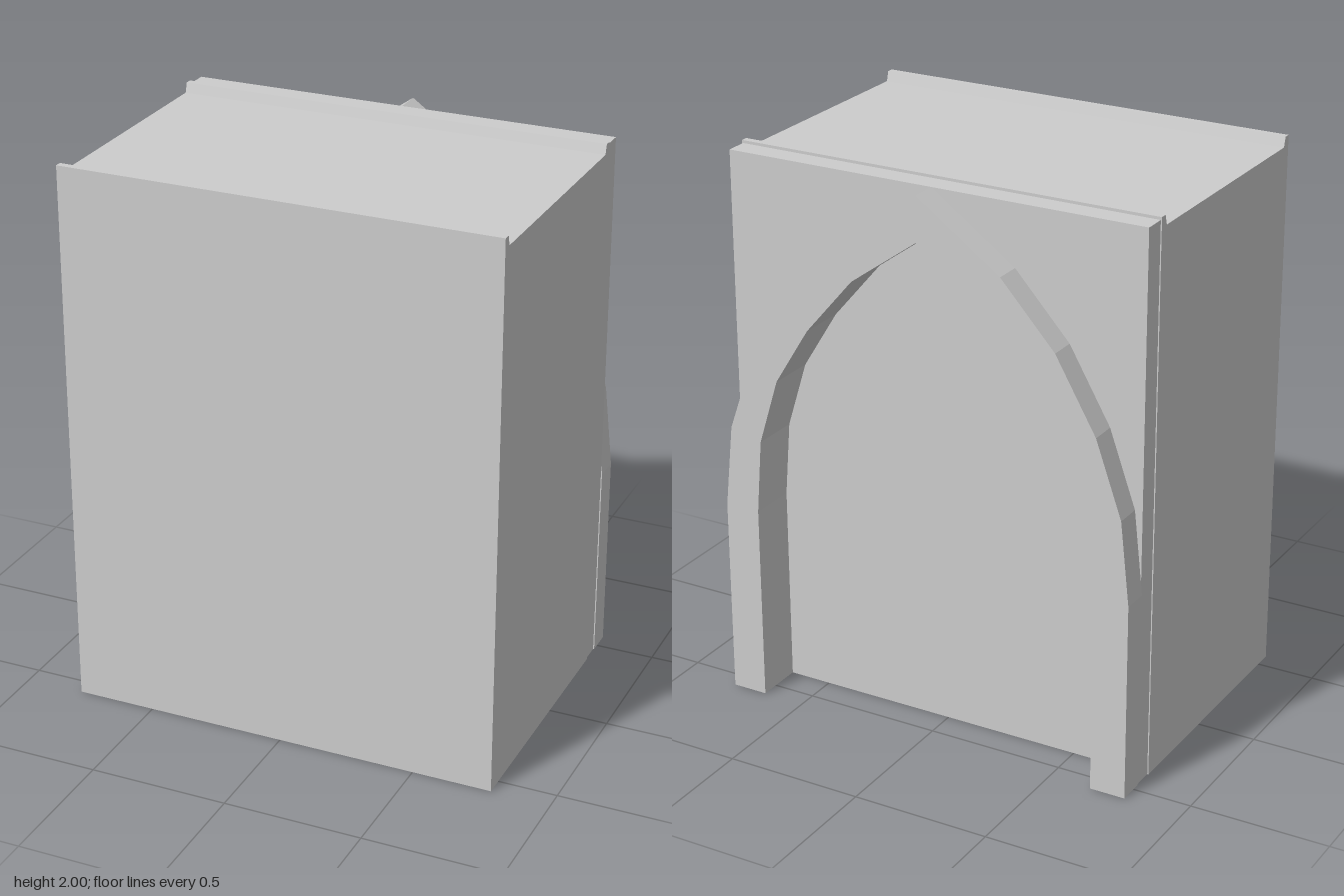
import * as THREE from 'three';

const stone = new THREE.MeshStandardMaterial({ color: 0xcccccc, side: THREE.DoubleSide });
stone.name = 'pale stone';

// Right half of the pointed arch, apex to springing
const outer = [[0, 1.99], [0.31, 1.77], [0.51, 1.55], [0.66, 1.29], [0.755, 1.02], [0.787, 0.72], [0.787, 0]];
const inner = [[0, 1.83], [0.25, 1.65], [0.43, 1.44], [0.56, 1.23], [0.635, 0.99], [0.657, 0.72], [0.657, 0]];

// Mirror a half outline into a full one running from left foot to right foot
const fullArch = half => [
  ...half.slice(1).reverse().map(([x, y]) => [-x, y]),
  ...half,
];

function extrude(points, depth) {
  const shape = new THREE.Shape(points.map(([x, y]) => new THREE.Vector2(x, y)));
  return new THREE.ExtrudeGeometry(shape, { depth, bevelEnabled: false });
}

// Remove the wide underside, leaving narrow lips below the front and back ridges
function openBottom(geometry) {
  const g = geometry.index ? geometry.toNonIndexed() : geometry;
  const p = g.attributes.position;
  const kept = [];
  for (let i = 0; i < p.count; i += 3) {
    const ys = [0, 1, 2].map(k => p.getY(i + k));
    const zs = [0, 1, 2].map(k => p.getZ(i + k));
    const isFloor = Math.max(...ys) < 0.001 && Math.max(...zs) - Math.min(...zs) > 0.5;
    if (isFloor) continue;
    for (let k = 0; k < 3; k++) kept.push(p.getX(i + k), p.getY(i + k), p.getZ(i + k));
  }
  const out = new THREE.BufferGeometry();
  out.setAttribute('position', new THREE.Float32BufferAttribute(kept, 3));
  out.computeVertexNormals();
  return out;
}

export function createModel() {
  const group = new THREE.Group();
  group.name = 'archedWallBlock';
  const add = (name, geometry) => {
    const mesh = new THREE.Mesh(geometry, stone);
    mesh.name = name;
    group.add(mesh);
  };

  // Hollow block: side profile as (z, y), with a raised ridge at each top edge
  const profile = [
    [0.567, 0], [0.567, 2], [0.542, 2], [0.532, 1.965],
    [-0.355, 1.965], [-0.365, 2], [-0.39, 2], [-0.39, 0],
    [-0.37, 0], [0.547, 0],
  ];
  const block = extrude(profile, 1.574);
  block.rotateY(-Math.PI / 2);
  block.translate(0.787, 0, 0);
  add('block', openBottom(block));

  // Back panel with the arched opening cut through it
  const panel = extrude([
    [0.783, 0], [0.783, 1.99], [-0.783, 1.99], [-0.783, 0],
    ...fullArch(inner),
  ], 0.08);
  panel.translate(0, 0, -0.47);
  add('backPanel', panel);

  // Raised arch surround
  const arch = extrude([...fullArch(outer), ...fullArch(inner).reverse()], 0.097);
  arch.translate(0, 0, -0.567);
  add('archSurround', arch);

  return group;
}
